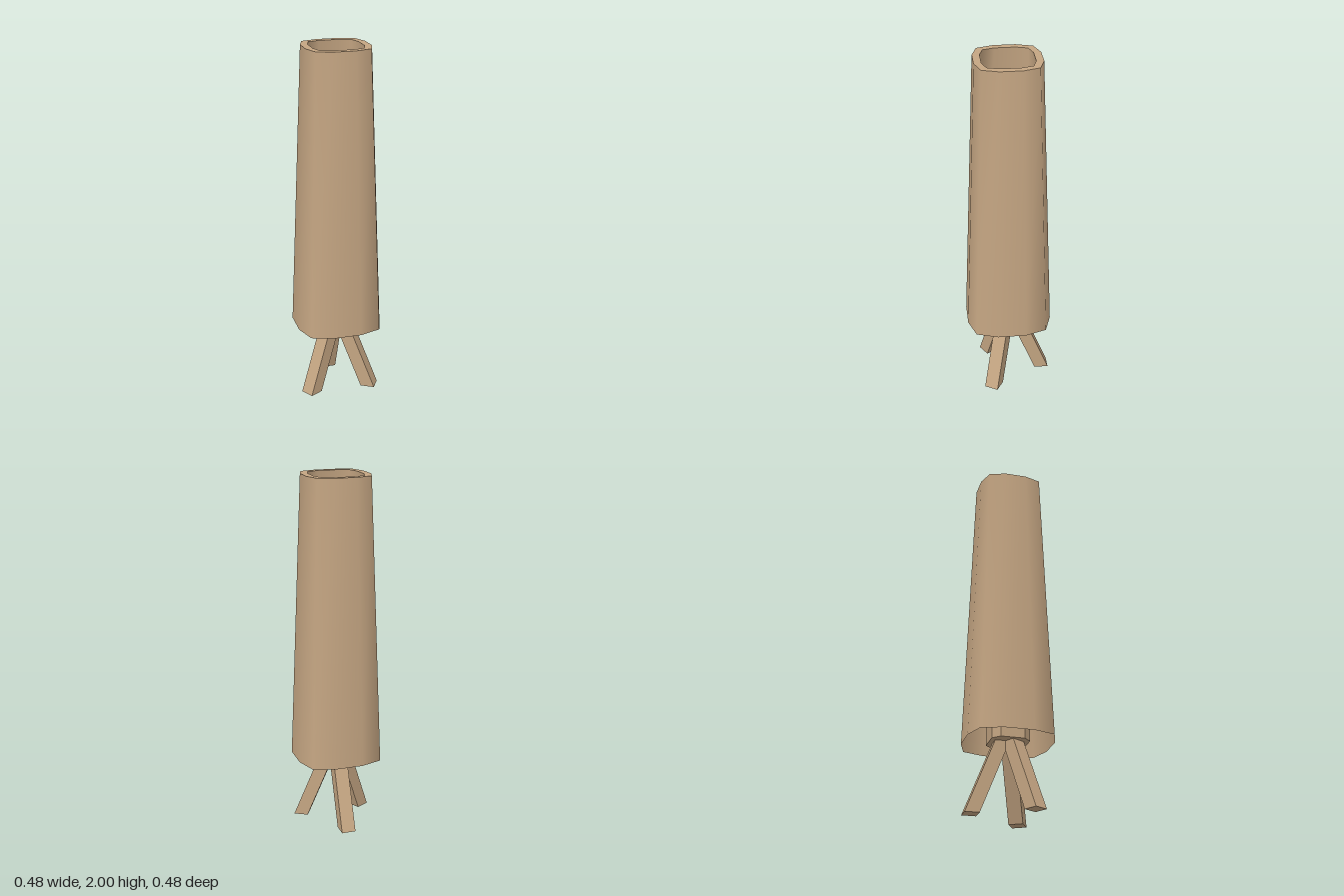
import * as THREE from 'three';

const wood = new THREE.MeshStandardMaterial({ color: 0xc4a582 });
wood.name = 'warm wood';

// Twelve-sided rounded-square loop: half side, half flat length, corner offset
function loop(side, flat, corner, y) {
  const pts = [];
  for (let k = 0; k < 4; k++) {
    const c = Math.round(Math.cos(k * Math.PI / 2)), s = Math.round(Math.sin(k * Math.PI / 2));
    for (const [x, z] of [[side, -flat], [side, flat], [corner, corner]]) {
      pts.push([x * c - z * s, y, x * s + z * c]);
    }
  }
  return pts;
}

// Smooth strip of faces joining two loops
function band(a, b) {
  const n = a.length, index = [];
  for (let i = 0; i < n; i++) {
    const j = (i + 1) % n;
    index.push(i, n + i, j, j, n + i, n + j);
  }
  const geo = new THREE.BufferGeometry();
  geo.setAttribute('position', new THREE.Float32BufferAttribute([...a, ...b].flat(), 3));
  geo.setIndex(index);
  geo.computeVertexNormals();
  return geo;
}

function add(parent, geo, name) {
  const mesh = new THREE.Mesh(geo, wood);
  mesh.name = name;
  parent.add(mesh);
  return mesh;
}

export function createModel() {
  const model = new THREE.Group();
  model.name = 'tripodLamp';

  // Tall hollow shade, wall thinning to an edge at the bottom
  const shade = new THREE.Group();
  shade.name = 'shade';
  const bottom = loop(0.24, 0.08, 0.2, 0.4);
  const top = loop(0.18, 0.06, 0.15, 2);
  const innerTop = loop(0.14, 0.055, 0.12, 2);
  add(shade, band(bottom, top), 'shadeOuter');
  add(shade, band(top, innerTop), 'shadeRim');
  add(shade, band(innerTop, bottom), 'shadeInner');
  model.add(shade);

  // Chamfered square hub
  const w = 0.105, c = 0.065;
  const outline = [[w, -c], [w, c], [c, w], [-c, w], [-w, c], [-w, -c], [-c, -w], [c, -w]];
  const hubGeo = new THREE.ExtrudeGeometry(
    new THREE.Shape(outline.map(([x, y]) => new THREE.Vector2(x, y))),
    { depth: 0.1, bevelEnabled: false });
  hubGeo.rotateX(-Math.PI / 2).translate(0, 0.4, 0);
  add(model, hubGeo, 'hub');

  // Square bulb on the hub
  const bulbProfile = [[0.032, 0.5], [0.032, 0.6], [0.022, 0.65], [0, 0.67]]
    .map(([r, y]) => new THREE.Vector2(r * Math.SQRT2, y));
  add(model, new THREE.LatheGeometry(bulbProfile, 4, Math.PI / 4), 'bulb');

  // Three splayed legs with level feet, leaning in to the hub
  for (let i = 0; i < 3; i++) {
    const geo = new THREE.BoxGeometry(0.08, 0.45, 0.08).translate(0, 0.225, 0);
    const p = geo.attributes.position;
    for (let v = 0; v < p.count; v++) p.setZ(v, p.getZ(v) - 0.2 + 0.4 * p.getY(v));
    geo.rotateY(i * Math.PI * 2 / 3);
    geo.computeVertexNormals();
    add(model, geo, ['backLeg', 'rightLeg', 'leftLeg'][i]);
  }
  return model;
}
